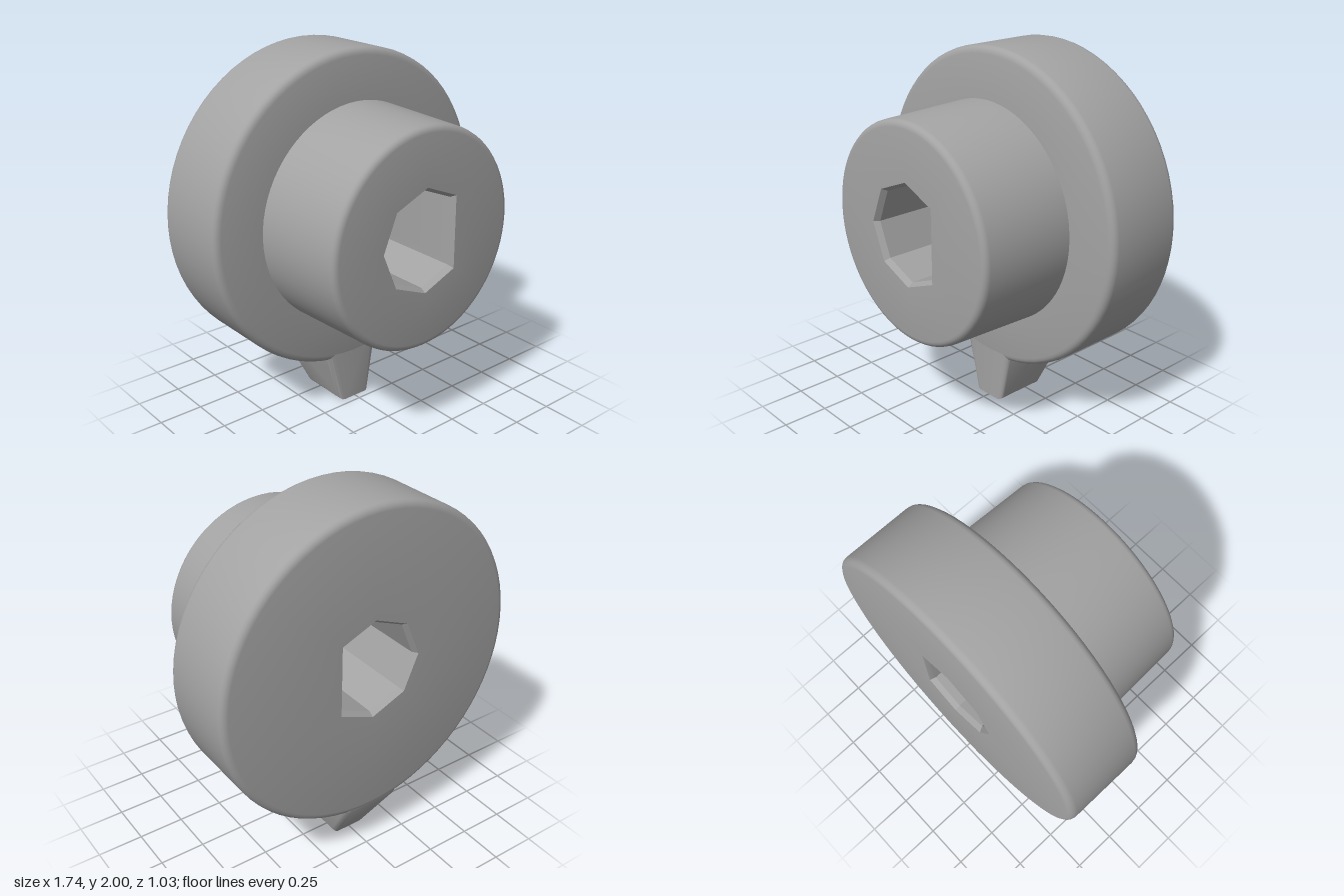
import * as THREE from 'three';
import { toCreasedNormals } from 'three/addons/utils/BufferGeometryUtils.js';

const AXIS_Y = 1.13;      // height of the turning axis
const STEP = Math.PI / 4; // the bore is an octagon with one corner cut flat

// Bore radius at an angle, for a bore of radius 1
function boreRadius(angle) {
  const a = Math.atan2(Math.sin(angle), Math.cos(angle));
  if (Math.abs(a) <= STEP) return Math.cos(STEP) / Math.cos(a);
  const m = ((a % STEP) + STEP) % STEP;
  return Math.cos(STEP / 2) / Math.cos(m - STEP / 2);
}

// Lathe along z from [radius, z] points; radii below 0.3 follow the bore outline
function turned(points, crease) {
  const profile = points.map(([r, z]) => new THREE.Vector2(r, z));
  const geo = new THREE.LatheGeometry(profile, 72).rotateX(Math.PI / 2);
  const p = geo.attributes.position;
  for (let i = 0; i < p.count; i++) {
    const x = p.getX(i), y = p.getY(i);
    const r = Math.hypot(x, y);
    if (r < 0.3) {
      const k = boreRadius(Math.atan2(y, x));
      p.setXY(i, x * k, y * k);
    }
  }
  return toCreasedNormals(geo, crease);
}

// Rounded convex corner, swept from one angle to another
function corner(r, z, radius, from, to) {
  const out = [];
  for (let i = 0; i <= 4; i++) {
    const a = from + (to - from) * i / 4;
    out.push([r + radius * Math.cos(a), z + radius * Math.sin(a)]);
  }
  return out;
}

export function createModel() {
  const model = new THREE.Group();
  const grey = new THREE.MeshStandardMaterial({ color: 0xa3a3a3 });
  const add = (name, geo) => {
    const mesh = new THREE.Mesh(geo, grey);
    mesh.name = name;
    mesh.position.y = AXIS_Y;
    model.add(mesh);
  };
  const Q = Math.PI / 2;

  // Wide disc with rounded rims and a slightly raised seat
  add('disc', turned([
    [0.28, -0.515],
    ...corner(0.83, -0.475, 0.04, -Q, 0),
    ...corner(0.83, -0.08, 0.04, 0, Q),
    [0.61, -0.022], [0.58, -0.022],
  ], 0.6));

  // Slightly tapered hub
  add('hub', turned([
    [0.602, -0.03],
    ...corner(0.551, 0.48, 0.035, 0, Q),
    [0.28, 0.515],
  ], 0.6));

  // Keyed bore with chamfered mouths
  add('bore', turned([
    [0.28, 0.515], [0.26, 0.485], [0.26, -0.485], [0.28, -0.515],
  ], 0.5));

  // Pointer tab: side profile extruded across x, then widened towards the disc
  const b = 0.025;
  const side = new THREE.Shape([
    [0.04, 0], [0.34, 0], [0.512, 0.28], [0.512, 0.4], [0.04, 0.4],
  ].map(([u, y]) => new THREE.Vector2(u, y)));
  const tab = new THREE.ExtrudeGeometry(side, {
    depth: 0.2 - 2 * b, bevelThickness: b, bevelSize: b, bevelOffset: -b, bevelSegments: 3,
  }).translate(0, 0, b - 0.1).rotateY(Math.PI / 2);
  const p = tab.attributes.position;
  for (let i = 0; i < p.count; i++) {
    const t = Math.min(p.getY(i) / 0.27, 1.3);
    p.setX(i, p.getX(i) * (1 + 0.68 * t) - 0.015 * t);
  }
  tab.translate(0, -AXIS_Y, 0);
  add('pointerTab', toCreasedNormals(tab, 0.6));

  return model;
}
